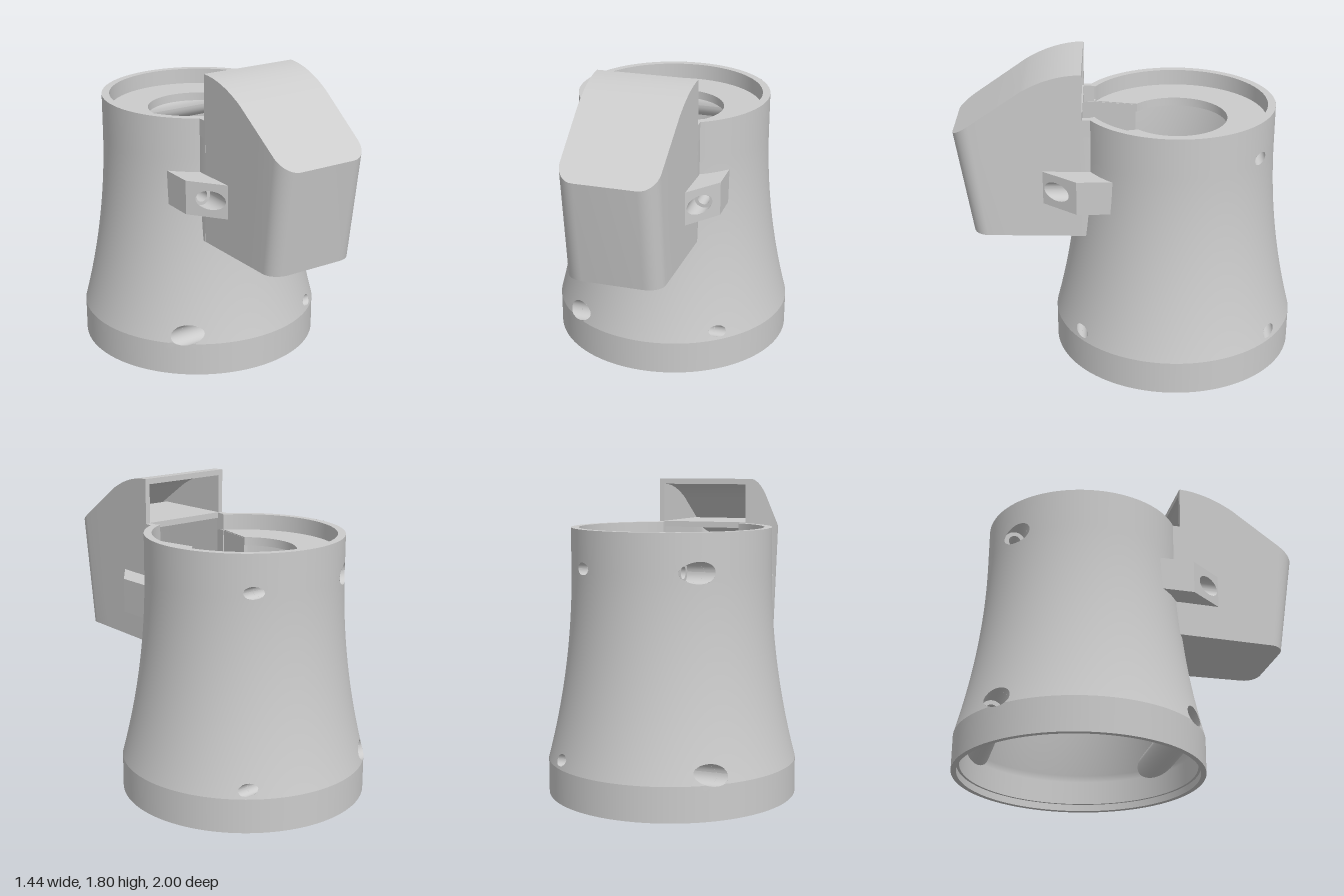
import * as THREE from 'three';
import { toCreasedNormals } from 'three/addons/utils/BufferGeometryUtils.js';

const AXIS_Z = -0.28, TOP = 1.535, WALL = 0.045, SLOT = 0.479;
const mat = new THREE.MeshStandardMaterial({ color: 0xcccccc, side: THREE.DoubleSide });
// Screw lines along x: z (from the body axis) and y
const SCREWS = [[0.555, 0.25], [-0.545, 0.25], [-0.46, 1.32]];
const holeRadius = (x) => (x < 0 ? 0.06 : 0.035);
const bodyR = (y) => (y < 0.2 ? 0.72 : 0.575 + 0.145 * (Math.max(0, 1.3 - y) / 1.1) ** 2);

function add(parent, name, geo, crease = true) {
  const mesh = new THREE.Mesh(crease ? toCreasedNormals(geo, 0.5) : geo, mat);
  mesh.name = name;
  parent.add(mesh);
  return mesh;
}

function moveVertices(geo, rule) {
  const p = geo.attributes.position, v = new THREE.Vector3();
  for (let i = 0; i < p.count; i++) {
    rule(v.fromBufferAttribute(p, i));
    p.setXYZ(i, v.x, v.y, v.z);
  }
  geo.computeVertexNormals();
  return geo;
}

// Horizontal slab from plan points [x, z]
function slab(points, y0, y1) {
  const shape = new THREE.Shape(points.map(([x, z]) => new THREE.Vector2(x, -z)));
  const geo = new THREE.ExtrudeGeometry(shape, { depth: y1 - y0, bevelEnabled: false });
  return geo.rotateX(-Math.PI / 2).translate(0, y0, 0);
}

// Turned wall patch on a fine grid; vertices close to a screw hole snap to its rim
function wallPatch(y0, y1, a0, offset, inward) {
  const cols = 240, rows = Math.max(2, Math.round((y1 - y0) / 0.02)), pos = [], idx = [], cut = [];
  for (let j = 0; j <= rows; j++) {
    for (let i = 0; i <= cols; i++) {
      const a = a0 + (i / cols) * (2 * Math.PI - 2 * a0);
      let y = y0 + (j / rows) * (y1 - y0), snapped = false;
      let x = Math.sin(a) * (bodyR(y) - offset), z = Math.cos(a) * (bodyR(y) - offset);
      for (const [hz, hy] of SCREWS) {
        const d = Math.hypot(z - hz, y - hy), r = holeRadius(x);
        if (d < r + 0.008 && d > 1e-6) {
          z = hz + ((z - hz) * r) / d;
          y = hy + ((y - hy) * r) / d;
          x = Math.sign(x) * Math.sqrt(Math.max(0, (bodyR(y) - offset) ** 2 - z * z));
          snapped = true;
        }
      }
      pos.push(x, y, z);
      cut.push(snapped);
    }
  }
  for (let j = 0; j < rows; j++) {
    for (let i = 0; i < cols; i++) {
      const a = j * (cols + 1) + i, b = a + 1, c = a + cols + 1, d = c + 1;
      if (cut[a] && cut[b] && cut[c] && cut[d]) continue;
      if (inward) idx.push(a, d, b, a, c, d);
      else idx.push(a, b, d, a, d, c);
    }
  }
  const geo = new THREE.BufferGeometry();
  geo.setAttribute('position', new THREE.Float32BufferAttribute(pos, 3));
  geo.setIndex(idx);
  geo.computeVertexNormals();
  return geo;
}

function lathe(points, a0 = 0) {
  return new THREE.LatheGeometry(points.map((p) => new THREE.Vector2(...p)), 128, a0, 2 * Math.PI - 2 * a0);
}

function makeBody() {
  const body = new THREE.Group();
  body.name = 'body';
  body.position.z = AXIS_Z;
  add(body, 'baseBand', wallPatch(0, 0.2, 0, 0, false), false);
  add(body, 'outerWallLower', wallPatch(0.2, 0.84, 0, 0, false), false);
  add(body, 'outerWallUpper', wallPatch(0.84, TOP, SLOT, 0, false), false);
  add(body, 'innerWallLower', wallPatch(0.04, 0.84, 0, WALL, true), false);
  add(body, 'innerWallUpper', wallPatch(0.84, TOP, SLOT, WALL, true), false);
  add(body, 'bottomLip', lathe([[0.675, 0.04], [0.69, 0.04], [0.69, 0], [0.72, 0]]));
  add(body, 'topRim', lathe([[0.575, TOP], [0.53, TOP]], SLOT));

  // Recessed plate with a round opening that runs out into the front slot
  const plate = [], n = 72, b = 0.73;
  for (let i = 0; i <= n; i++) {
    const a = 0.49 + (i / n) * (2 * Math.PI - 0.98);
    plate.push([0.54 * Math.sin(a), 0.54 * Math.cos(a)]);
  }
  for (let i = n; i >= 0; i--) {
    const a = b + (i / n) * (2 * Math.PI - 2 * b);
    plate.push([0.3 * Math.sin(a), 0.3 * Math.cos(a)]);
  }
  add(body, 'topPlate', slab(plate, 1.39, 1.44));

  // Screw bosses inside the wall, with a stepped bore through each
  for (const [hz, hy] of SCREWS) {
    const boss = new THREE.CylinderGeometry(0.09, 0.09, 1, 40, 24, true).rotateZ(Math.PI / 2).translate(0, hy, hz);
    add(body, 'screwBoss', moveVertices(boss, (v) => {
      const r = bodyR(v.y) - 0.02;
      v.z = Math.sign(v.z) * Math.min(Math.abs(v.z), r);
      v.x = Math.sign(v.x) * Math.min(Math.abs(v.x), Math.sqrt(r * r - v.z * v.z));
    }), false);
    for (const s of [-1, 1]) {
      const r = holeRadius(s);
      const bore = new THREE.CylinderGeometry(r, r, 1, 32, 1, true).rotateZ(Math.PI / 2).translate(0, hy, hz);
      add(body, 'screwBore', moveVertices(bore, (v) => {
        v.x = v.x * s > 0 ? s * Math.sqrt(bodyR(v.y) ** 2 - v.z * v.z) : s * 0.25;
      }), false);
    }
    const shank = new THREE.CylinderGeometry(0.035, 0.035, 0.5, 32, 1, true).rotateZ(Math.PI / 2);
    add(body, 'screwShankBore', shank.translate(0, hy, hz), false);
    add(body, 'screwHeadSeat', new THREE.RingGeometry(0.035, 0.06, 32).rotateY(-Math.PI / 2).translate(-0.25, hy, hz));
  }
  return body;
}

// Hollow front housing: inner then outer cross-sections, lofted along z
function housingShell() {
  const roof = (z) => (z < 0.6 ? 1.8 - 0.865 * (z - 0.26) ** 2 : 1.7 - 0.6875 * (z - 0.6));
  const steps = [0, 0.06, 0.12, 0.18, 0.24, 0.3, 0.36, 0.42, 0.46, 0.65, 0.865];
  for (let i = 1; i <= 8; i++) steps.push(0.865 + 0.135 * Math.sin((i / 8) * Math.PI / 2));
  const section = (u, t) => {
    const k = Math.max(0, (u - 0.865) / 0.135);
    const w = 0.295 - 0.02 * u - t - 0.1 * (1 - Math.sqrt(Math.max(0, 1 - k * k)));
    const zt = 0.26 + u * (0.74 - t), zb = 0.26 + u * (0.645 - t);
    const yt = roof(zt) - 1.1 * t, yb = 0.81 + t;
    return [[w, yb, zb], [w, yt, zt], [-w, yt, zt], [-w, yb, zb]];
  };
  const rings = [...steps].reverse().map((u) => section(u, 0.03)).concat(steps.map((u) => section(u, 0)));
  const pos = rings.flat(2), idx = [], last = (rings.length - 1) * 4;
  for (let j = 0; j < rings.length - 1; j++) {
    for (let i = 0; i < 4; i++) {
      const a = j * 4 + i, b = j * 4 + ((i + 1) % 4);
      idx.push(a, b, b + 4, a, b + 4, a + 4);
    }
  }
  idx.push(0, 2, 1, 0, 3, 2, last, last + 1, last + 2, last, last + 2, last + 3);
  const geo = new THREE.BufferGeometry();
  geo.setAttribute('position', new THREE.Float32BufferAttribute(pos, 3));
  geo.setIndex(idx);
  return geo;
}

// Side ear with a slanted front face and a stepped screw hole
function makeEar(s) {
  const ear = new THREE.Group();
  ear.name = s > 0 ? 'leftEar' : 'rightEar';
  const shape = new THREE.Shape();
  shape.moveTo(0.27, 1.02).lineTo(0.44, 1.02).lineTo(0.44, 1.22).lineTo(0.27, 1.22).closePath();
  shape.holes.push(new THREE.Path().absarc(0.35, 1.12, 0.055, 0, Math.PI * 2, true));
  const geo = new THREE.ExtrudeGeometry(shape, { depth: 1, bevelEnabled: false, curveSegments: 24 });
  moveVertices(geo, (v) => {
    v.z = v.z > 0.5 ? 0.5 - (v.x - 0.28) * 1.29 : Math.sqrt(0.555 ** 2 - v.x * v.x) + AXIS_Z;
    v.x *= s;
  });
  // Mirroring flips the corner order, so restore it
  if (s < 0) {
    const p = geo.attributes.position.array;
    for (let i = 0; i < p.length; i += 9) {
      for (let k = 0; k < 3; k++) [p[i + 3 + k], p[i + 6 + k]] = [p[i + 6 + k], p[i + 3 + k]];
    }
  }
  add(ear, 'earBlock', geo);
  add(ear, 'earSeat', new THREE.RingGeometry(0.035, 0.055, 32).translate(s * 0.35, 1.12, 0.32));
  const bore = new THREE.CylinderGeometry(0.035, 0.035, 0.12, 32, 1, true).rotateX(Math.PI / 2);
  add(ear, 'earBore', bore.translate(s * 0.35, 1.12, 0.26), false);
  add(ear, 'earBoreEnd', new THREE.CircleGeometry(0.035, 32).translate(s * 0.35, 1.12, 0.2));
  return ear;
}

export function createModel() {
  const model = new THREE.Group();
  model.name = 'housingWithTurnedBody';
  model.add(makeBody());

  const housing = new THREE.Group();
  housing.name = 'frontHousing';
  add(housing, 'housingShell', housingShell());
  add(housing, 'housingShelf', new THREE.BoxGeometry(0.54, 0.035, 0.5).translate(0, 1.52, 0.51));
  model.add(housing);

  // Pocket leading from the housing into the body
  const pocket = new THREE.Group();
  pocket.name = 'pocket';
  add(pocket, 'pocketFloor', slab([[-0.22, -0.03], [0.22, -0.03], [0.275, 0.265], [-0.275, 0.265]], 0.81, 0.84));
  for (const s of [-1, 1]) {
    const wall = [[0.2, -0.05], [0.23, -0.05], [0.295, 0.2], [0.295, 0.27], [0.265, 0.27]];
    add(pocket, 'pocketWall', slab(wall.map(([x, z]) => [s * x, z]), 0.81, 1.435));
    add(pocket, 'slotJamb', new THREE.BoxGeometry(0.035, 0.105, 0.07).translate(s * 0.2775, 1.4825, 0.235));
    model.add(makeEar(s));
  }
  model.add(pocket);
  return model;
}
